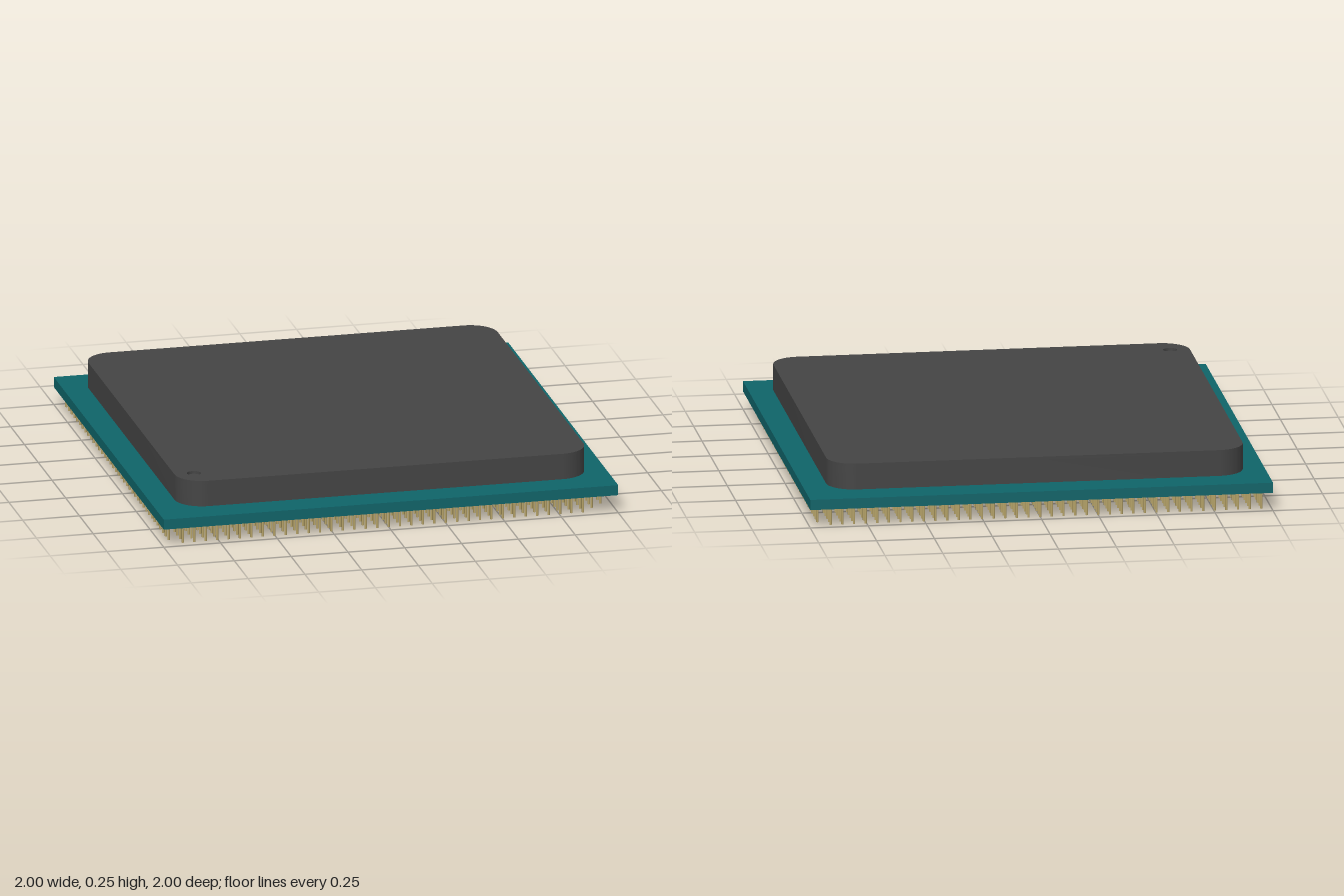
import * as THREE from 'three';
import { mergeGeometries, toCreasedNormals } from 'three/addons/utils/BufferGeometryUtils.js';

const material = (name, color) => {
  const m = new THREE.MeshStandardMaterial({ color });
  m.name = name;
  return m;
};

// Square outline with rounded corners, centred on the origin
function roundedSquare(half, r) {
  const s = new THREE.Shape();
  const c = half - r;
  s.absarc(c, c, r, 0, Math.PI / 2);
  s.absarc(-c, c, r, Math.PI / 2, Math.PI);
  s.absarc(-c, -c, r, Math.PI, Math.PI * 1.5);
  s.absarc(c, -c, r, Math.PI * 1.5, Math.PI * 2);
  s.closePath();
  return s;
}

// Extrude a plan shape upwards from y0 to y1
function slab(shape, y0, y1) {
  const g = new THREE.ExtrudeGeometry(shape, { depth: y1 - y0, bevelEnabled: false, curveSegments: 10 });
  g.rotateX(-Math.PI / 2).translate(0, y0, 0);
  return toCreasedNormals(g, 0.6);
}

// Whether the pin grid has a pin at column i, row j (both -19..19)
function hasPin(i, j) {
  const a = Math.abs(i), b = Math.abs(j);
  if (a <= 6 && b <= 6) return false; // bare centre
  if ((a === 4 || a === 5) && (b === 10 || b === 11)) return false; // four key gaps
  if (i + j >= 37) return false; // cut front left corner
  if (a === 19 && b === 19 && i * j < 0) return false; // two single corner pins
  return true;
}

export function createModel() {
  const model = new THREE.Group();
  model.name = 'processorChip';
  const teal = material('board teal', 0x0f6469);
  const dark = material('lid dark grey', 0x444444);
  const gold = material('pin gold', 0xb8a56a);

  const add = (name, geometry, mat) => {
    const mesh = new THREE.Mesh(geometry, mat);
    mesh.name = name;
    model.add(mesh);
  };

  // Circuit board
  add('board', new THREE.BoxGeometry(2, 0.045, 2).translate(0, 0.1015, 0), teal);

  // Lid body, and a top layer pierced by the small corner mark
  const seam = 0.238;
  add('lidBody', slab(roundedSquare(0.9, 0.12), 0.136, seam), dark);
  const top = roundedSquare(0.9, 0.12);
  const mark = new THREE.Path();
  mark.absarc(-0.815, -0.785, 0.03, 0, Math.PI * 2, true);
  top.holes.push(mark);
  add('lidTop', slab(top, seam, 0.25), dark);

  // Pin: a thin shaft under a wider foot
  const pin = mergeGeometries([
    new THREE.CylinderGeometry(0.0055, 0.0055, 0.08, 6).translate(0, 0.04, 0),
    new THREE.CylinderGeometry(0.015, 0.012, 0.007, 8).translate(0, 0.0765, 0),
  ]);
  const pitch = 0.0503;
  const pins = [];
  for (let i = -19; i <= 19; i++) {
    for (let j = -19; j <= 19; j++) {
      if (hasPin(i, j)) pins.push(pin.clone().translate(i * pitch, 0, j * pitch));
    }
  }
  add('pins', mergeGeometries(pins), gold);

  return model;
}
